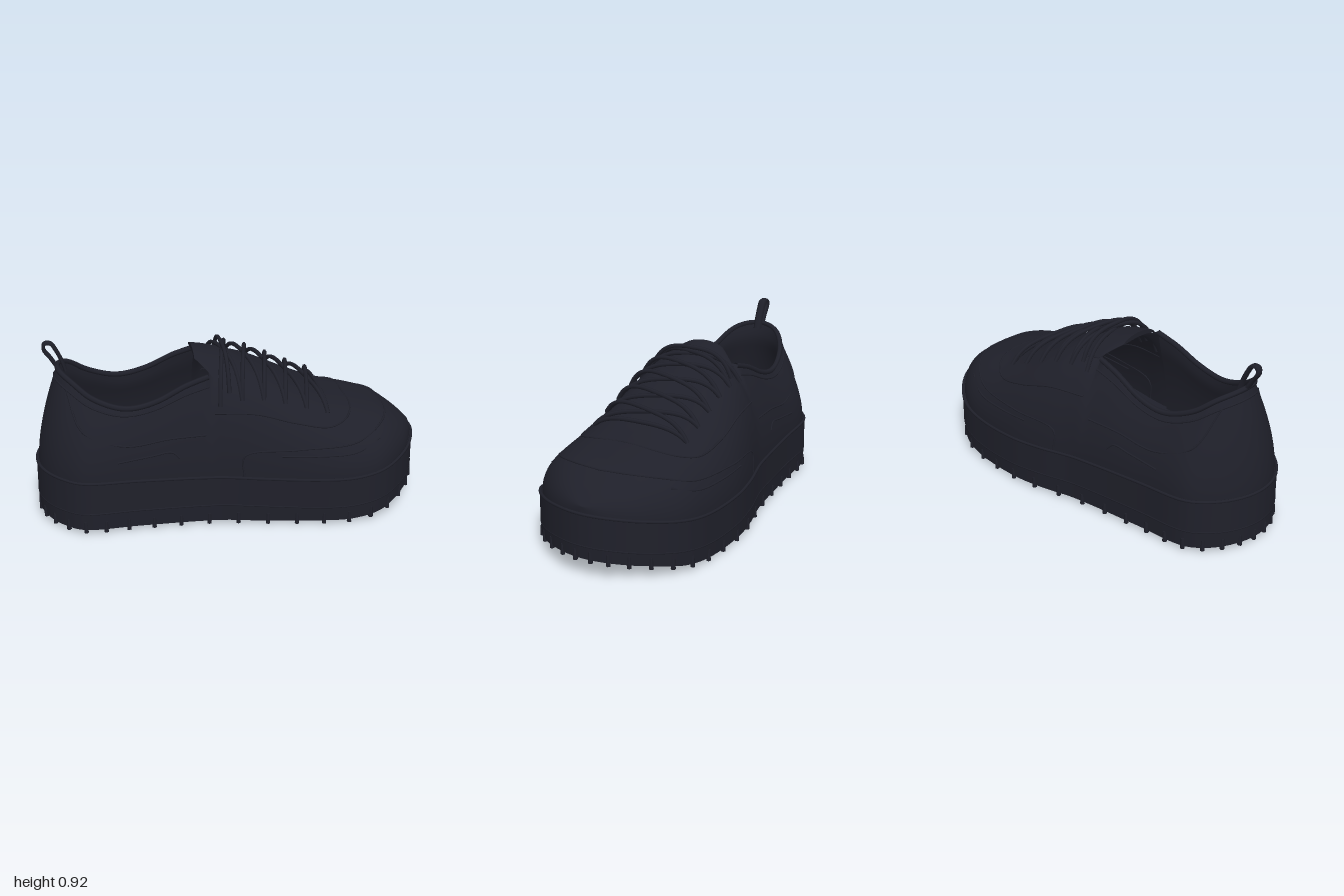
import * as THREE from 'three';

// smooth interpolation through [x, value] pairs
function table(p) {
  const slope = i => {
    const a = p[Math.max(i - 1, 0)], b = p[Math.min(i + 1, p.length - 1)];
    return (b[1] - a[1]) / (b[0] - a[0]);
  };
  return x => {
    x = Math.min(Math.max(x, p[0][0]), p[p.length - 1][0]);
    let i = 0;
    while (i < p.length - 2 && x > p[i + 1][0]) i++;
    const h = p[i + 1][0] - p[i][0], t = (x - p[i][0]) / h, t2 = t * t, t3 = t2 * t;
    return p[i][1] * (2 * t3 - 3 * t2 + 1) + p[i + 1][1] * (3 * t2 - 2 * t3)
      + slope(i) * h * (t3 - 2 * t2 + t) + slope(i + 1) * h * (t3 - t2);
  };
}
const { lerp } = THREE.MathUtils;
const TAU = Math.PI * 2;
const toPhi = x => Math.acos(-Math.min(Math.max(x, -1), 1));
const byPhi = p => table(p.map(([x, w]) => [toPhi(x), w]));

// plan half widths on each side, as seen from above
const widthLeft = byPhi([[-1, 0], [-0.97, 0.14], [-0.9, 0.245], [-0.78, 0.33], [-0.5, 0.327], [-0.1, 0.335],
  [0.1, 0.375], [0.4, 0.43], [0.6, 0.448], [0.75, 0.415], [0.9, 0.275], [0.97, 0.145], [1, 0]]);
const widthRight = byPhi([[-1, 0], [-0.97, 0.14], [-0.9, 0.25], [-0.78, 0.335], [-0.5, 0.355], [-0.1, 0.39],
  [0.1, 0.435], [0.3, 0.458], [0.6, 0.435], [0.75, 0.388], [0.9, 0.26], [0.97, 0.14], [1, 0]]);
// heights along the length
const soleBottom = table([[-1, 0.03], [-0.85, 0.02], [0.5, 0.015], [0.7, 0.035], [0.85, 0.07], [1, 0.1]]);
const soleLine = table([[-1, 0.11], [0, 0.1], [0.5, 0.09], [0.7, 0.11], [1, 0.165]]);
const soleTop = table([[-1, 0.285], [0, 0.255], [0.5, 0.245], [0.7, 0.265], [1, 0.325]]);
const ridge = table([[-0.2, 0.805], [0, 0.785], [0.1, 0.755], [0.2, 0.71], [0.3, 0.66], [0.4, 0.615], [0.5, 0.575],
  [0.7, 0.525], [0.8, 0.495], [0.9, 0.43], [0.96, 0.38], [1, 0.34]]);
const collarY = table([[-0.86, 0.79], [-0.8, 0.755], [-0.7, 0.68], [-0.55, 0.63], [-0.4, 0.655], [-0.25, 0.725], [-0.13, 0.765]]);
const collarZ = table([[0, 0], [0.3, 0.11], [0.6, 0.19], [1, 0.23], [1.45, 0.21]]);
const OPEN = 1.44; // angle where the ankle opening ends
const ROUND = 0.7; // lower is a flatter instep
const N = 144;

function outline(phi, inset = 0) {
  const side = Math.sin(phi) >= 0 ? 1 : -1, f = phi > Math.PI ? TAU - phi : phi;
  const w = (side > 0 ? widthLeft : widthRight)(f);
  return { x: -Math.cos(f) * (1 - inset), z: side * w * (1 - 2.2 * inset), side, f };
}

// outer skin of the upper: phi runs round the shoe, v climbs from the sole
function skin(phi, v) {
  const { x, z, side, f } = outline(phi, 0.017), yb = soleTop(x) - 0.01;
  if (f < OPEN) {
    const cx = -0.86 + (1 - Math.cos(f)) * 0.84;
    return new THREE.Vector3(lerp(x, cx, v ** 1.6), lerp(yb, collarY(cx), v), lerp(z, side * collarZ(f), v ** 2));
  }
  const a = v * Math.PI / 2;
  return new THREE.Vector3(x, yb + (ridge(x) - yb) * Math.sin(a), z * Math.max(0, Math.cos(a)) ** ROUND);
}
function vampY(x, z) {
  const w = Math.abs(outline(z >= 0 ? toPhi(x) : TAU - toPhi(x), 0.017).z);
  const c = Math.min(1, Math.abs(z) / w) ** (1 / ROUND);
  return soleTop(x) + (ridge(x) - soleTop(x)) * Math.sqrt(1 - c * c);
}

// grid surface from a point function
function loft(cols, rows, fn) {
  const pos = [], idx = [];
  for (let j = 0; j <= rows; j++)
    for (let i = 0; i <= cols; i++) pos.push(...fn(i / cols, j / rows).toArray());
  for (let j = 0; j < rows; j++)
    for (let i = 0; i < cols; i++) {
      const a = j * (cols + 1) + i, b = a + 1, c = a + cols + 1, d = c + 1;
      idx.push(a, b, d, a, d, c);
    }
  const g = new THREE.BufferGeometry();
  g.setAttribute('position', new THREE.Float32BufferAttribute(pos, 3));
  g.setIndex(idx);
  g.computeVertexNormals();
  return g;
}

export function createModel() {
  const shoe = new THREE.Group();
  const dark = new THREE.MeshStandardMaterial({ color: 0x1f202a, side: THREE.DoubleSide });
  dark.name = 'darkNavy';
  const add = (name, geo) => {
    const m = new THREE.Mesh(geo, dark);
    m.name = name;
    shoe.add(m);
    return m;
  };
  const tube = (name, pts, r, closed = false, seg = 40) =>
    add(name, new THREE.TubeGeometry(new THREE.CatmullRomCurve3(pts, closed), seg, r, 6, closed));

  // sole: underside, outsole wall, midsole wall and ledge
  const ring = (u, inset, yFn) => {
    const o = outline(u * TAU, inset);
    return new THREE.Vector3(o.x, yFn(o.x), o.z);
  };
  const wall = (name, d0, y0, d1, y1) => add(name, loft(N, 4, (u, t) =>
    ring(u, lerp(d0, d1, t), x => lerp(y0(x), y1(x), t))));
  add('soleUnderside', loft(N, 6, (u, t) => {
    const p = ring(u, 0.008, soleBottom);
    p.z *= t;
    p.y += 0.01 * (1 - t * t);
    return p;
  }));
  wall('outsoleWall', 0.008, soleBottom, 0.005, soleLine);
  wall('midsoleWall', 0.004, soleLine, 0.006, soleTop);
  wall('soleLedge', 0.006, soleTop, 0.03, soleTop);

  // beads running round the sole
  for (const [name, fn, r] of [['upperBead', soleTop, 0.008], ['lowerBead', soleLine, 0.006]]) {
    const pts = [];
    for (let i = 0; i < 72; i++) pts.push(ring(i / 72, 0.008, fn));
    tube(name, pts, r, true, 144);
  }

  // tread lugs round the bottom edge
  for (let i = 0; i < 42; i++) {
    const u = (i + 0.5) / 42, p = ring(u, 0.011, soleBottom), q = ring(u + 0.004, 0.011, soleBottom);
    const lug = add('treadLug', new THREE.CylinderGeometry(0.009, 0.012, 0.058, 6));
    lug.position.set(p.x, p.y + 0.014, p.z);
    lug.rotation.y = -Math.atan2(q.z - p.z, q.x - p.x);
  }

  // upper, padded lining and insole
  add('upper', loft(N, 24, (u, t) => skin(u * TAU, t)));
  const openAngle = u => {
    const a = (u * 2 - 1) * (OPEN - 0.001);
    return a < 0 ? a + TAU : a;
  };
  add('lining', loft(60, 14, (u, t) => {
    const p = skin(openAngle(u), 1 - t * 0.95), pad = Math.sin(Math.min(1, t * 4) * Math.PI / 2);
    p.z *= 1 - 0.13 * pad;
    p.x = -0.3 + (p.x + 0.3) * (1 - 0.1 * pad);
    return p;
  }));
  add('insole', loft(60, 2, (u, t) => {
    const p = ring(u, 0.05, x => soleTop(x) + 0.03);
    p.z *= 1 - t;
    return p;
  }));

  // collar rim and the stitched line below it
  for (const [name, v, r] of [['collarRim', 0.99, 0.014], ['collarSeam', 0.9, 0.005]]) {
    const pts = [];
    for (let i = 0; i <= 40; i++) pts.push(skin(openAngle(i / 40), v));
    tube(name, pts, r, false, 100);
  }

  // tongue: a thin curved pad that slides under the instep
  const tongueY = table([[-0.19, 0.84], [-0.1, 0.82], [0, 0.795], [0.12, 0.735]]);
  add('tongue', loft(16, 32, (u, t) => {
    const x = -0.185 + u * 0.3, a = t * TAU, z = Math.cos(a) * (0.11 + 0.1 * Math.min(1, u * 4));
    return new THREE.Vector3(x, tongueY(x) + 0.013 * Math.sin(a) - z * z * 1.5, z);
  }));
  add('tongueTip', loft(2, 16, (u, t) => {
    const z = (t * 2 - 1) * 0.11, h = 0.013 * Math.sqrt(Math.max(0, 1 - (t * 2 - 1) ** 2));
    return new THREE.Vector3(-0.185, tongueY(-0.185) + (u * 2 - 1) * h - z * z * 1.5, z);
  }));

  // panel seams, the same on both sides: [length, climb]
  const seams = {
    toeGuardSeam: [[0.03, 0.02], [0.03, 0.15], [0.3, 0.25], [0.6, 0.38], [0.75, 0.58], [0.82, 0.8], [0.84, 1]],
    toeGuardInnerSeam: [[0.22, 0.18], [0.4, 0.22], [0.6, 0.28], [0.74, 0.42]],
    laceStaySeam: [[-0.11, 0.42], [0.1, 0.45], [0.3, 0.47], [0.48, 0.52], [0.58, 0.66], [0.62, 0.82], [0.62, 1]],
    quarterSeam: [[-0.94, 0.9], [-0.82, 0.62], [-0.6, 0.52], [-0.35, 0.5], [-0.16, 0.46]],
    heelPanelSeam: [[-0.62, 0.3], [-0.45, 0.34], [-0.34, 0.34], [-0.3, 0.26]],
  };
  for (const [name, pts] of Object.entries(seams))
    for (const s of [1, -1])
      tube(name, pts.map(([x, v]) => skin(s > 0 ? toPhi(x) : TAU - toPhi(x), v)), 0.005);

  // laces: crossing pairs and arched bars at both ends
  const rows = [-0.08, 0.03, 0.14, 0.25, 0.36, 0.47];
  const lace = (x0, x1, lift, half = 0.265) => {
    const pts = [];
    for (let i = 0; i <= 16; i++) {
      const t = i / 8 - 1, x = lerp(x0, x1, i / 16), z = half * t;
      pts.push(new THREE.Vector3(x, vampY(x, z) + 0.004 + lift * (1 - t ** 6), z));
    }
    tube('lace', pts, 0.011);
  };
  rows.forEach((x, i) => {
    if (i === 5) return lace(x, x, 0.015);
    lace(x, rows[i + 1], 0.028);
    lace(rows[i + 1], x, 0.042);
  });
  lace(-0.03, -0.03, 0.06, 0.24);

  // heel pull loop
  const loop = tube('pullLoop', [[-0.855, 0.77], [-0.89, 0.83], [-0.922, 0.88], [-0.915, 0.907], [-0.885, 0.905],
    [-0.862, 0.87], [-0.835, 0.81], [-0.82, 0.76]].map(([x, y]) => new THREE.Vector3(x, y, 0)), 0.01);
  loop.scale.z = 2.4;

  return shoe;
}
